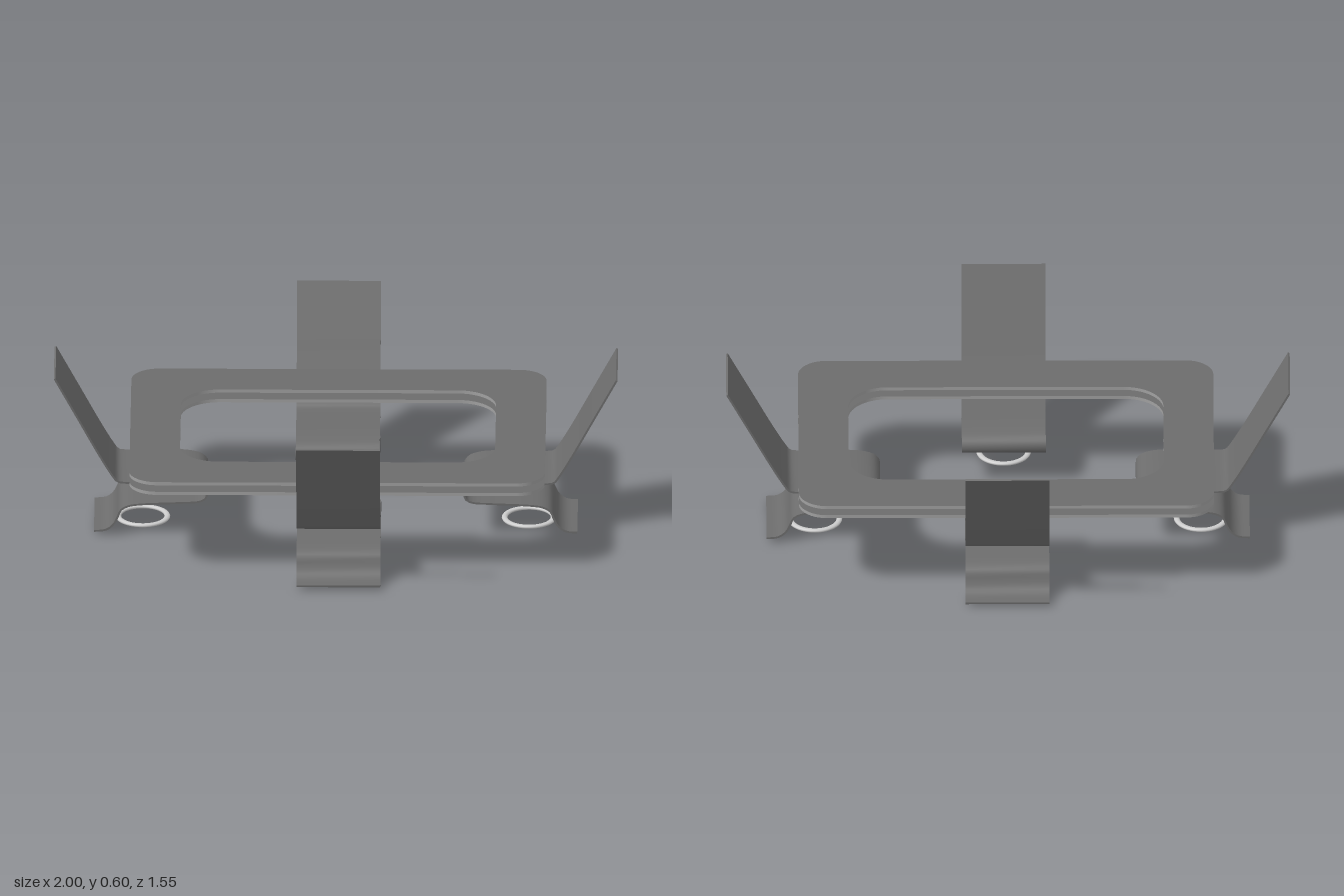
import * as THREE from 'three';
import { toCreasedNormals } from 'three/addons/utils/BufferGeometryUtils.js';

const darkGrey = new THREE.MeshStandardMaterial({ color: 0x6c6c6c });
const rimGrey = new THREE.MeshStandardMaterial({ color: 0xa0a0a0 });
const lightGrey = new THREE.MeshStandardMaterial({ color: 0xcccccc });

function addMesh(parent, name, geometry, material, x = 0, y = 0, z = 0) {
  const mesh = new THREE.Mesh(geometry, material);
  mesh.name = name;
  mesh.position.set(x, y, z);
  parent.add(mesh);
}

// Rounded rectangle outline centred on the origin
function roundedRect(path, w, h, r) {
  const x = w / 2, y = h / 2;
  path.moveTo(-x + r, -y);
  path.lineTo(x - r, -y);
  path.absarc(x - r, -y + r, r, -Math.PI / 2, 0);
  path.lineTo(x, y - r);
  path.absarc(x - r, y - r, r, 0, Math.PI / 2);
  path.lineTo(-x + r, y);
  path.absarc(-x + r, y - r, r, Math.PI / 2, Math.PI);
  path.lineTo(-x, -y + r);
  path.absarc(-x + r, -y + r, r, Math.PI, Math.PI * 1.5);
  return path;
}

// Flat frame with a rounded opening, lying in the xz plane
function frameGeometry(thickness) {
  const shape = roundedRect(new THREE.Shape(), 1.475, 1.04, 0.1);
  shape.holes.push(roundedRect(new THREE.Path(), 1.12, 0.66, 0.14));
  const geo = new THREE.ExtrudeGeometry(shape, { depth: thickness, bevelEnabled: false, curveSegments: 12 });
  geo.translate(0, 0, -thickness / 2);
  geo.rotateX(-Math.PI / 2);
  return toCreasedNormals(geo, 0.6);
}

// Bent sheet strip: x points outward with 0 at the flared tip
function clipGeometry(width, thickness) {
  const profile = [
    [0, 0.602], [-0.08, 0.454], [-0.165, 0.297], [-0.205, 0.23], [-0.222, 0.208], [-0.245, 0.203],
    [-0.33, 0.204], [-0.43, 0.205], [-0.485, 0.2], [-0.523, 0.187], [-0.54, 0.165],
    [-0.537, 0.144], [-0.515, 0.131], [-0.45, 0.126], [-0.3, 0.119], [-0.26, 0.112],
    [-0.235, 0.097], [-0.223, 0.069], [-0.207, 0.04], [-0.18, 0.021], [-0.14, 0.017],
  ].map(([x, y]) => new THREE.Vector3(x, y, 0));
  const curve = new THREE.CatmullRomCurve3(profile);
  const upper = [], lower = [], steps = 90;
  for (let i = 0; i <= steps; i++) {
    const p = curve.getPointAt(i / steps), t = curve.getTangentAt(i / steps);
    const nx = -t.y * thickness / 2, ny = t.x * thickness / 2;
    upper.push(new THREE.Vector2(p.x + nx, p.y + ny));
    lower.unshift(new THREE.Vector2(p.x - nx, p.y - ny));
  }
  const geo = new THREE.ExtrudeGeometry(new THREE.Shape([...upper, ...lower]), { depth: width, bevelEnabled: false });
  geo.translate(0, 0, -width / 2);
  return toCreasedNormals(geo, 0.7);
}

// Flattened wire ring lying in the xz plane
function ringGeometry() {
  const geo = new THREE.TorusGeometry(0.087, 0.0105, 10, 48);
  geo.rotateX(Math.PI / 2);
  geo.scale(1, 0.65, 1);
  return geo;
}

export function createModel() {
  const model = new THREE.Group();
  model.name = 'clippedFrame';

  // Two stacked frames with lighter rims
  const frame = frameGeometry(0.012);
  addMesh(model, 'upperFrame', frame, [darkGrey, rimGrey], 0.007, 0.355, -0.019);
  addMesh(model, 'lowerFrame', frame, [darkGrey, rimGrey], 0.007, 0.318, -0.019);

  // Four spring clips, each with a ring beneath it
  const clip = clipGeometry(0.298, 0.007);
  const ring = ringGeometry();
  const placements = [
    ['left', 0.998, -0.017, 0],
    ['right', -0.998, -0.017, Math.PI],
    ['front', 0.014, 0.772, -Math.PI / 2],
    ['back', 0.004, -0.775, Math.PI / 2],
  ];
  for (const [side, x, z, angle] of placements) {
    const group = new THREE.Group();
    group.name = side + 'ClipAssembly';
    addMesh(group, side + 'Clip', clip, darkGrey);
    addMesh(group, side + 'Ring', ring, lightGrey, -0.312, 0.013, 0);
    group.position.set(x, 0, z);
    group.rotation.y = angle;
    model.add(group);
  }

  // Ring at the centre
  addMesh(model, 'centreRing', ring, lightGrey, 0.014, 0.007, -0.017);
  return model;
}
